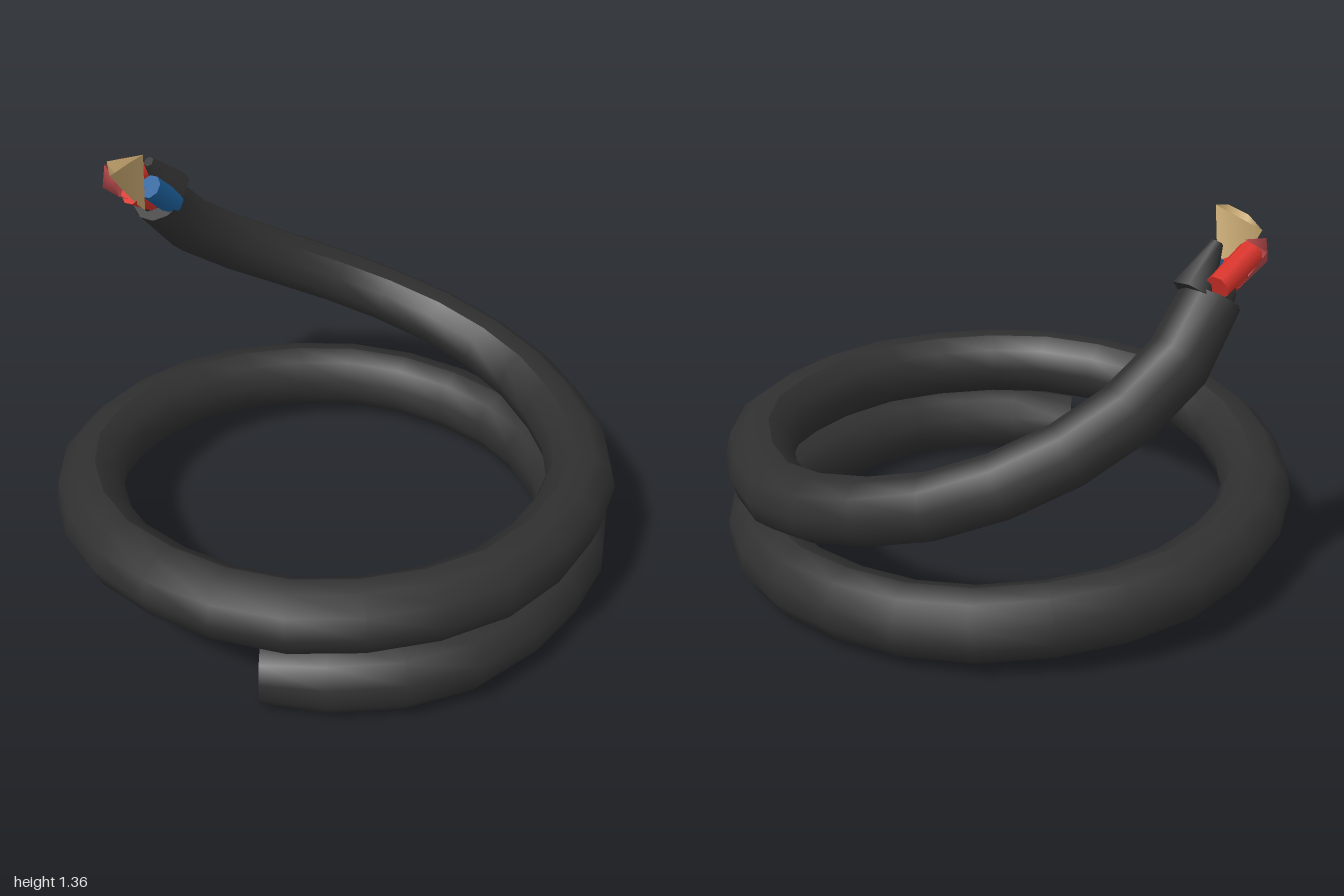
import * as THREE from 'three';

const V = (x, y, z) => new THREE.Vector3(x, y, z);
const mat = (name, color, side = THREE.FrontSide) => {
  const m = new THREE.MeshStandardMaterial({ color, side });
  m.name = name;
  return m;
};

export function createModel() {
  const black = mat('black rubber', 0x303030, THREE.DoubleSide);
  const blue = mat('blue insulation', 0x1c5f9a);
  const red = mat('red insulation', 0xd8332a);
  const rose = mat('faded red insulation', 0xb84a4c, THREE.DoubleSide);
  const copper = mat('bare strands', 0xc8a870, THREE.DoubleSide);

  const model = new THREE.Group();
  model.name = 'coiledCable';
  const add = (name, geo, material) => {
    const mesh = new THREE.Mesh(geo, material);
    mesh.name = name;
    model.add(mesh);
    return mesh;
  };

  // Sheath path: angle in degrees, height, coil radius
  const keys = [
    [141, 0.135, 0.89], [115, 0.14, 0.885], [90, 0.14, 0.88], [45, 0.14, 0.88], [0, 0.145, 0.87],
    [-45, 0.165, 0.88], [-90, 0.21, 0.88], [-135, 0.275, 0.88], [-180, 0.355, 0.875],
    [-225, 0.385, 0.88], [-270, 0.39, 0.88], [-315, 0.39, 0.88], [-355, 0.405, 0.87],
    [-380, 0.475, 0.875], [-403, 0.57, 0.88], [-421, 0.68, 0.87], [-437, 0.8, 0.865],
    [-450, 0.93, 0.86], [-458, 1.03, 0.86], [-463, 1.13, 0.85],
  ];
  const path = new THREE.CatmullRomCurve3(keys.map(([deg, y, r]) => {
    const a = THREE.MathUtils.degToRad(deg);
    return V(Math.cos(a) * r, y, Math.sin(a) * r);
  }));

  // Sheath: thinner towards the free end, narrowed at both cuts
  const N = 42, SIDES = 10, R = 0.122;
  const sheath = new THREE.TubeGeometry(path, N, R, SIDES);
  const pos = sheath.attributes.position, p = V(0, 0, 0);
  for (let i = 0; i <= N; i++) {
    const t = i / N, c = path.getPointAt(t);
    let s = 1 - 0.13 * THREE.MathUtils.smoothstep(t, 0.72, 0.9);
    if (i === 0) s = 0.84;
    if (i === N) s = 0.8;
    for (let j = 0; j <= SIDES; j++) {
      const k = i * (SIDES + 1) + j;
      p.fromBufferAttribute(pos, k).sub(c).multiplyScalar(s).add(c);
      pos.setXYZ(k, p.x, p.y, p.z);
    }
  }
  sheath.computeVertexNormals();
  add('sheath', sheath, black);

  // Cut faces closing the sheath
  [[0, 0.84, -1], [1, 0.8, 1]].forEach(([t, s, dir], i) => {
    const cap = add(i ? 'upperCut' : 'lowerCut', new THREE.CircleGeometry(R * s, SIDES), black);
    cap.position.copy(path.getPointAt(t));
    cap.quaternion.setFromUnitVectors(V(0, 0, 1), path.getTangentAt(t).multiplyScalar(dir));
  });

  // Tapered rod between two points
  const rod = (name, a, b, r0, r1, material, sides = 8) => {
    const d = b.clone().sub(a);
    const m = add(name, new THREE.CylinderGeometry(r1, r0, d.length(), sides), material);
    m.position.copy(a).add(b).multiplyScalar(0.5);
    m.quaternion.setFromUnitVectors(V(0, 1, 0), d.normalize());
    return m;
  };

  // Torn flaps of the sheath between the wires
  rod('upperFlap', V(-0.13, 1.16, -0.82), V(-0.235, 1.295, -0.8), 0.07, 0.02, black, 6);
  rod('lowerFlap', V(-0.17, 1.1, -0.85), V(-0.265, 1.15, -0.83), 0.07, 0.03, black, 6);

  // Insulated wires
  rod('blueWire', V(-0.16, 1.12, -0.775), V(-0.265, 1.225, -0.75), 0.045, 0.045, blue);
  rod('redWire', V(-0.16, 1.19, -0.895), V(-0.33, 1.26, -0.85), 0.04, 0.042, red);
  rod('redWireCore', V(-0.22, 1.13, -0.82), V(-0.31, 1.2, -0.8), 0.04, 0.05, red);

  // Flared ribbon lofted from a narrow root row to a wide tip row
  const ribbon = (name, rows, material) => {
    const w = rows[0].length, idx = [];
    for (let i = 0; i < rows.length - 1; i++) {
      for (let j = 0; j < w - 1; j++) {
        const a = i * w + j;
        idx.push(a, a + 1, a + w, a + 1, a + w + 1, a + w);
      }
    }
    const g = new THREE.BufferGeometry().setFromPoints(rows.flat());
    g.setIndex(idx);
    g.computeVertexNormals();
    add(name, g, material);
  };

  // Bare strands fanning out of the end, with faded insulation behind
  ribbon('bareStrands', [
    [V(-0.29, 1.14, -0.75), V(-0.3, 1.15, -0.74), V(-0.31, 1.16, -0.77), V(-0.31, 1.17, -0.8), V(-0.29, 1.14, -0.75)],
    [V(-0.31, 1.38, -0.7), V(-0.37, 1.37, -0.69), V(-0.44, 1.33, -0.71), V(-0.38, 1.32, -0.84), V(-0.31, 1.38, -0.7)],
  ], copper);
  ribbon('fadedInsulation', [
    [V(-0.25, 1.14, -0.78), V(-0.27, 1.13, -0.84), V(-0.25, 1.18, -0.9)],
    [V(-0.37, 1.2, -0.79), V(-0.4, 1.22, -0.85), V(-0.35, 1.27, -0.9)],
    [V(-0.38, 1.27, -0.8), V(-0.38, 1.3, -0.86), V(-0.29, 1.31, -0.86)],
  ], rose);

  return model;
}
